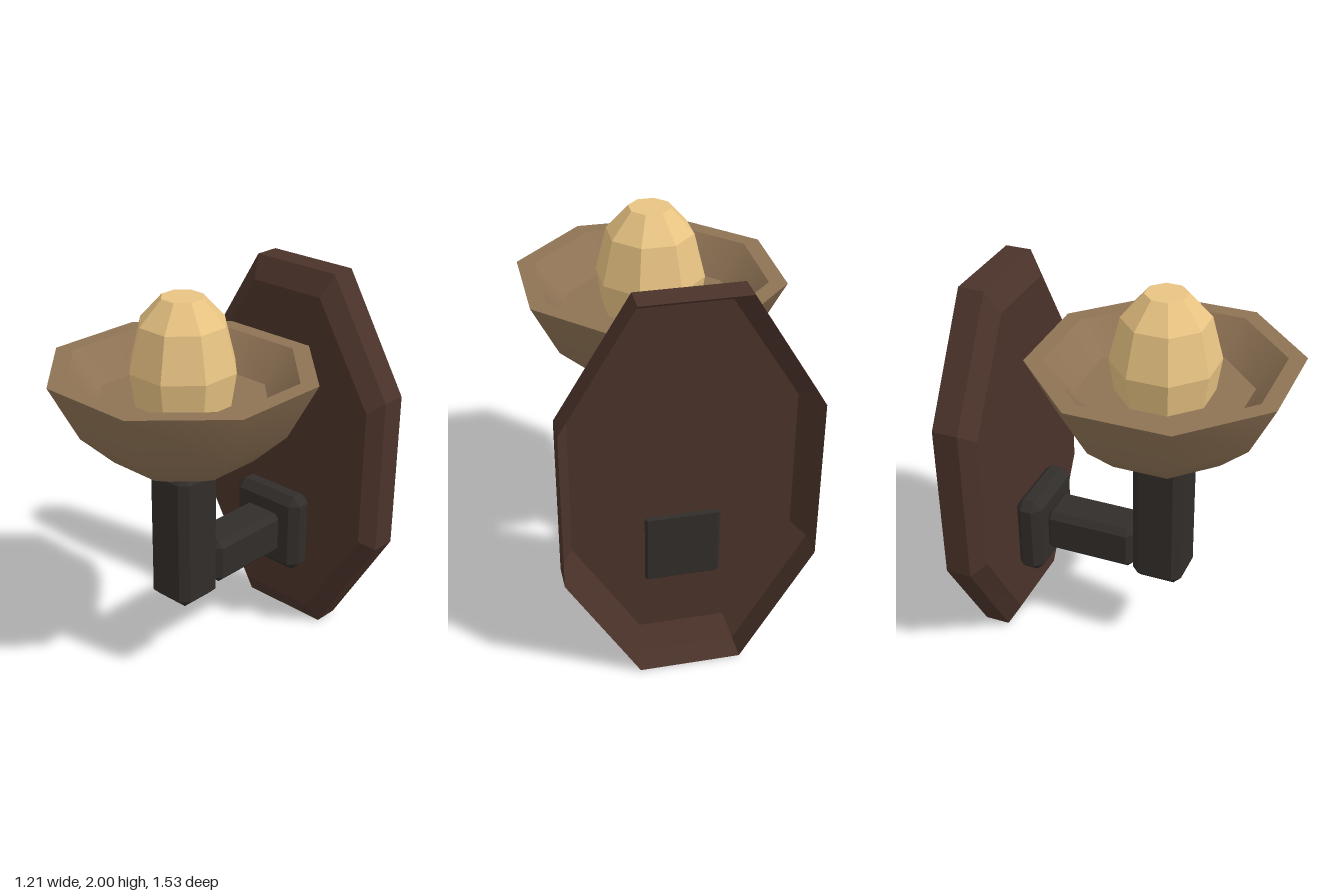
import * as THREE from 'three';
import { ConvexGeometry } from 'three/addons/geometries/ConvexGeometry.js';

const CUP_Z = 0.155;
const material = (color, options = {}) => new THREE.MeshStandardMaterial({ color, ...options });

function addMesh(parent, name, geometry, mat, x = 0, y = 0, z = 0) {
  const mesh = new THREE.Mesh(geometry, mat);
  mesh.name = name;
  mesh.position.set(x, y, z);
  parent.add(mesh);
  return mesh;
}

// Box with every edge cut by a flat chamfer c
function chamferedBox(w, h, d, c) {
  const [x, y, z] = [w / 2, h / 2, d / 2];
  const points = [];
  for (const sx of [-1, 1]) for (const sy of [-1, 1]) for (const sz of [-1, 1]) {
    points.push(
      new THREE.Vector3(sx * x, sy * (y - c), sz * (z - c)),
      new THREE.Vector3(sx * (x - c), sy * y, sz * (z - c)),
      new THREE.Vector3(sx * (x - c), sy * (y - c), sz * z)
    );
  }
  return new ConvexGeometry(points);
}

// Eight-sided turned shape; radii are measured to the flat sides
function octagonLathe(profile) {
  const k = 1 / Math.cos(Math.PI / 8);
  const points = profile.map(([r, y]) => new THREE.Vector2(r * k, y));
  return new THREE.LatheGeometry(points, 8, Math.PI / 8);
}

// Eight corners of the long wall plate, counter-clockwise from the front
function plateRing(xIn, xOut, y0, y1, y2, y3, z) {
  return [
    [-xIn, y0, z], [xIn, y0, z], [xOut, y1, z], [xOut, y2, z],
    [xIn, y3, z], [-xIn, y3, z], [-xOut, y2, z], [-xOut, y1, z]
  ];
}

// Hollow plate: side wall, front chamfer and front face, open at the back
function plateGeometry() {
  const rings = [
    plateRing(0.245, 0.593, 0, 0.585, 1.4, 1.975, -0.765),
    plateRing(0.245, 0.593, 0, 0.585, 1.4, 1.975, -0.635),
    plateRing(0.21, 0.528, 0.112, 0.635, 1.35, 1.863, -0.57)
  ];
  const positions = [];
  const triangle = (a, b, c) => positions.push(...a, ...b, ...c);
  for (let i = 0; i < rings.length - 1; i++) {
    for (let j = 0; j < 8; j++) {
      const n = (j + 1) % 8;
      triangle(rings[i][j], rings[i][n], rings[i + 1][n]);
      triangle(rings[i][j], rings[i + 1][n], rings[i + 1][j]);
    }
  }
  const front = rings[rings.length - 1];
  for (let j = 1; j < 7; j++) triangle(front[0], front[j], front[j + 1]);
  const geometry = new THREE.BufferGeometry();
  geometry.setAttribute('position', new THREE.Float32BufferAttribute(positions, 3));
  geometry.computeVertexNormals();
  return geometry;
}

export function createModel() {
  const model = new THREE.Group();
  model.name = 'wallSconce';

  const wood = material(0x4b332a, { flatShading: true, side: THREE.DoubleSide });
  const iron = material(0x312d2a, { flatShading: true });
  const bronze = material(0x8f7355);
  const glow = material(0xe8c382, { flatShading: true });

  // Wall plate
  addMesh(model, 'wallPlate', plateGeometry(), wood);

  // Bracket: mounting block, horizontal arm and upright post
  const bracket = new THREE.Group();
  bracket.name = 'bracket';
  model.add(bracket);
  addMesh(bracket, 'mountingBlock', chamferedBox(0.425, 0.43, 0.145, 0.043), iron, 0, 0.58, -0.51);
  addMesh(bracket, 'arm', chamferedBox(0.23, 0.23, 0.48, 0.03), iron, 0, 0.58, -0.213);
  addMesh(bracket, 'post', chamferedBox(0.26, 0.725, 0.26, 0.04), iron, 0, 0.795, CUP_Z + 0.003);

  // Bowl: smooth outside and inside, sharp rim and flat floors
  const bowl = new THREE.Group();
  bowl.name = 'bowl';
  bowl.position.z = CUP_Z;
  model.add(bowl);
  const bowlParts = {
    bowlBase: [[0, 1.155], [0.18, 1.155]],
    bowlOutside: [[0.18, 1.155], [0.325, 1.235], [0.475, 1.387], [0.607, 1.662]],
    bowlRim: [[0.607, 1.662], [0.525, 1.662]],
    bowlInside: [[0.525, 1.662], [0.393, 1.5]],
    bowlFloor: [[0.393, 1.5], [0, 1.5]]
  };
  for (const [name, profile] of Object.entries(bowlParts)) {
    addMesh(bowl, name, octagonLathe(profile), bronze);
  }

  // Faceted light standing in the bowl
  const bulb = [[0, 1.49], [0.22, 1.49], [0.245, 1.665], [0.195, 1.88], [0.095, 2], [0, 2]];
  addMesh(model, 'bulb', octagonLathe(bulb), glow, 0, 0, CUP_Z);

  return model;
}
